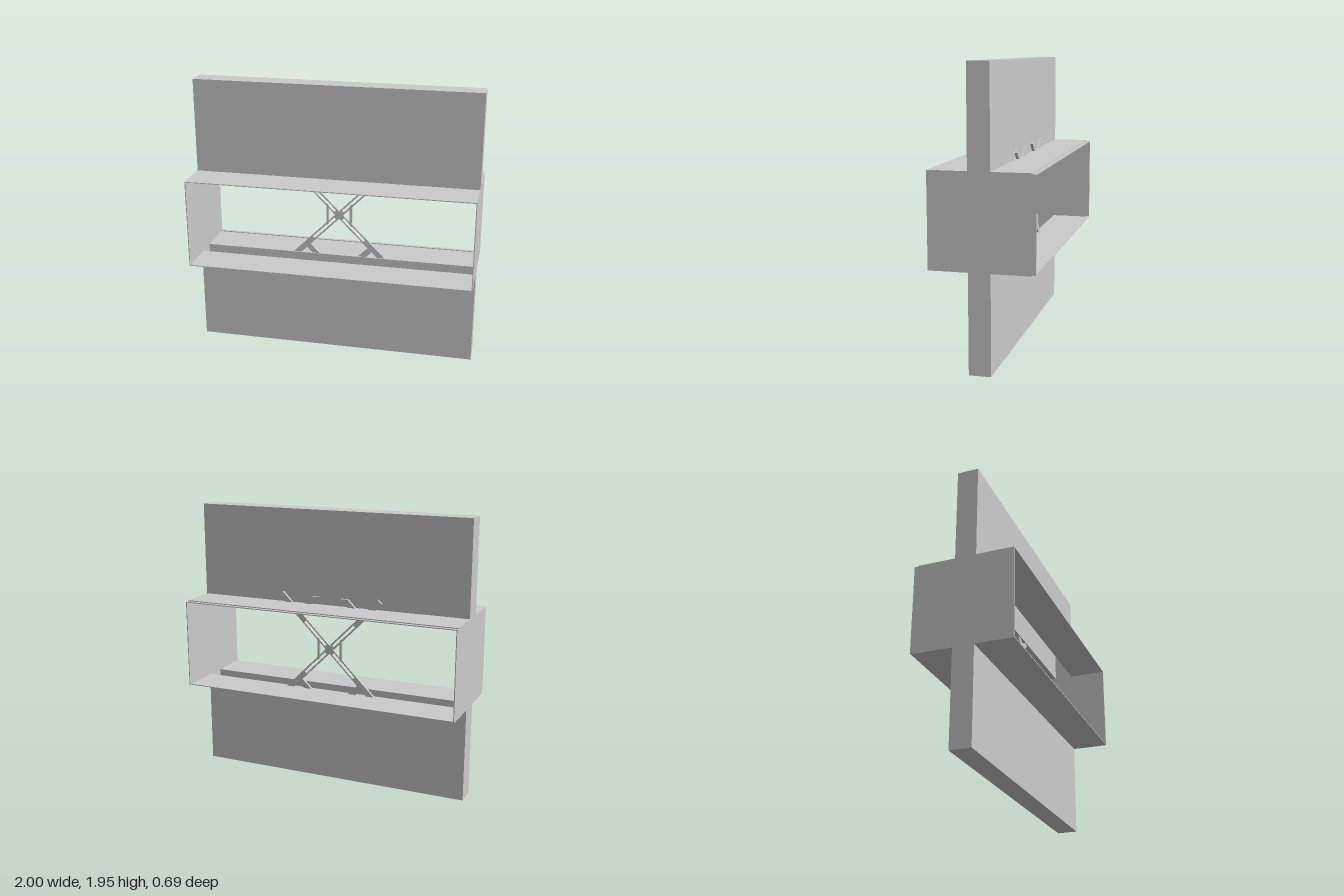
import * as THREE from 'three';

const T = 0.006;                       // sheet thickness
const MID = 0.975;                     // height of the scissor pivot
const LOW = 0.66, HIGH = 1.29, TOP = 1.95;
const FRONT = 0.085, BACK = -0.06, DEPTH = 0.345;

const material = new THREE.MeshStandardMaterial({ color: 0xcccccc, side: THREE.DoubleSide });

function add(parent, name, geometry) {
  const mesh = new THREE.Mesh(geometry, material);
  mesh.name = name;
  parent.add(mesh);
  return mesh;
}

function shapeFrom(points) {
  return new THREE.Shape(points.map(([x, y]) => new THREE.Vector2(x, y)));
}

// Extrudes a [z, y] outline along x, starting at x0
function extrudeAlongX(points, x0, length) {
  const geometry = new THREE.ExtrudeGeometry(shapeFrom(points.map(([z, y]) => [-z, y])),
    { depth: length, bevelEnabled: false });
  return geometry.rotateY(Math.PI / 2).translate(x0, 0, 0);
}

export function createModel() {
  const model = new THREE.Group();
  model.name = 'wallSectionWithScissorBrace';

  // Hollow wall halves, each a folded sheet with a flange at front and back
  const upper = [
    [DEPTH, HIGH], [FRONT, HIGH], [FRONT, TOP], [BACK, TOP], [BACK, HIGH], [-0.32, HIGH],
    [-0.32, HIGH - T], [BACK - T, HIGH - T], [BACK + T, HIGH - T], [BACK + T, TOP - T],
    [FRONT - T, TOP - T], [FRONT - T, HIGH - T], [DEPTH, HIGH - T],
  ];
  add(model, 'upperWall', extrudeAlongX(upper, -1, 2));
  add(model, 'lowerWall', extrudeAlongX(upper.map(([z, y]) => [z, TOP - y]), -1, 2));

  // Cross-shaped end plates
  const cross = [
    [FRONT, 0], [FRONT, LOW], [DEPTH, LOW], [DEPTH, HIGH], [FRONT, HIGH], [FRONT, TOP],
    [BACK, TOP], [BACK, HIGH], [-0.32, HIGH], [-0.32, HIGH - T], [-DEPTH, HIGH - T],
    [-DEPTH, LOW + T], [-0.32, LOW + T], [-0.32, LOW], [BACK, LOW], [BACK, 0],
  ];
  add(model, 'leftEndPlate', extrudeAlongX(cross, 1 - T, T));
  add(model, 'rightEndPlate', extrudeAlongX(cross, -1, T));

  // Slightly inset lips along the rear edges
  for (const [name, y] of [['upperRearLip', HIGH - 1.5 * T], ['lowerRearLip', LOW + 1.5 * T]]) {
    add(model, name, new THREE.BoxGeometry(2 - 2 * T, T, 0.025)).position.set(0, y, -0.3325);
  }

  // Scissor brace: four slotted arms with forked ends
  const brace = new THREE.Group();
  brace.name = 'scissorBrace';
  brace.position.set(0, MID, -0.08);
  model.add(brace);
  const depth = 0.018;
  const plate = (shape) => new THREE.ExtrudeGeometry(shape, { depth, bevelEnabled: false });

  const arm = shapeFrom([[0, -0.02], [0.53, -0.02], [0.53, 0.02], [0, 0.02]]);
  arm.holes.push(new THREE.Path([[0.04, -0.01], [0.04, 0.01], [0.265, 0.01], [0.265, -0.01]]
    .map(([x, y]) => new THREE.Vector2(x, y))));
  const fork = shapeFrom([[0.32, 0.015], [0.36, 0.015], [0.36, 0.165], [0.32, 0.205]]);
  for (let i = 0; i < 4; i++) {
    const limb = new THREE.Group();
    limb.name = 'limb';
    limb.rotation.z = Math.PI / 4 + i * Math.PI / 2;
    brace.add(limb);
    add(limb, 'slottedArm', plate(arm));
    // The fork always turns towards the centre plane
    const branch = plate(fork);
    if (i % 2) branch.rotateX(Math.PI).translate(0, 0, depth);
    add(limb, 'forkBranch', branch);
  }

  // Upright ties between the arms
  for (const s of [1, -1]) {
    const tie = shapeFrom([[0.077, -0.07], [0.093, -0.085], [0.093, 0.085], [0.077, 0.07]]
      .map(([x, y]) => [s * x, y]));
    add(brace, s > 0 ? 'leftTie' : 'rightTie', plate(tie));
  }

  // Pivot pin
  const pin = new THREE.CylinderGeometry(0.031, 0.031, depth + 0.006, 24).rotateX(Math.PI / 2);
  add(brace, 'pivotPin', pin).position.z = depth / 2;

  return model;
}
